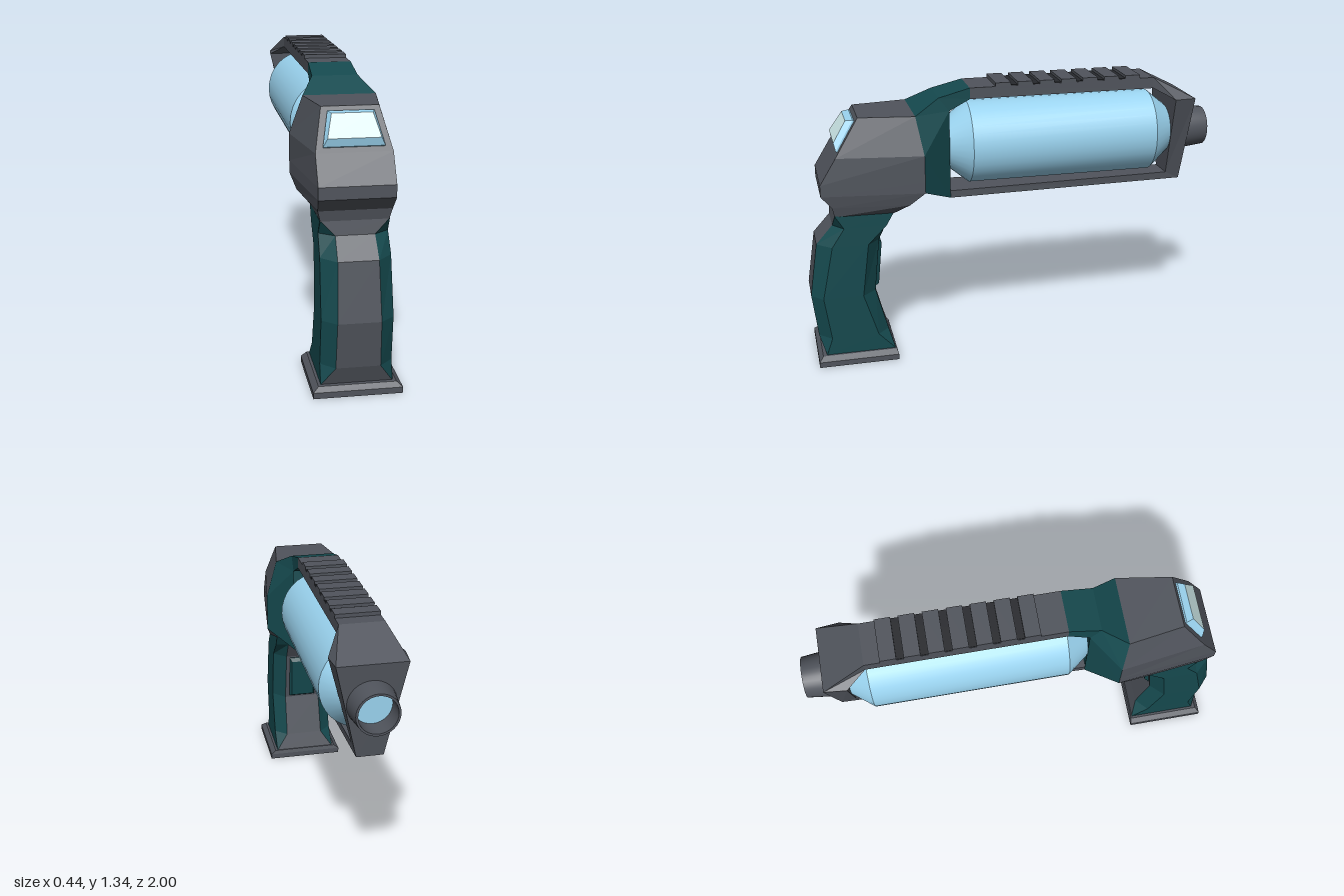
import * as THREE from 'three';
import { toCreasedNormals } from 'three/addons/utils/BufferGeometryUtils.js';

const grey = new THREE.MeshStandardMaterial({ color: 0x50545c, flatShading: true });
const dark = new THREE.MeshStandardMaterial({ color: 0x26282c, flatShading: true });
const teal = new THREE.MeshStandardMaterial({ color: 0x15494e, flatShading: true });
const blue = new THREE.MeshStandardMaterial({ color: 0x9ad3ef });
const pale = new THREE.MeshStandardMaterial({ color: 0xd2eeee });

// Closes a +x half outline into a full ring symmetric about x = 0
const mirror = (half) => [...half, ...half.map(([x, y, z]) => [-x, y, z]).reverse()];

// Skins a row of rings with flat faces and end caps; keep(column) selects faces, caps are column -1 and -2
function loft(rings, keep = () => true) {
  const n = rings[0].length, tris = [];
  const quad = (a, b, c, d, col) => tris.push([a, b, c, col], [a, c, d, col]);
  for (let i = 0; i < rings.length - 1; i++) {
    for (let j = 0; j < n; j++) {
      const k = (j + 1) % n;
      quad(rings[i][j], rings[i][k], rings[i + 1][k], rings[i + 1][j], j);
    }
  }
  const last = rings[rings.length - 1];
  for (let j = 1; j < n - 1; j++) {
    tris.push([rings[0][0], rings[0][j + 1], rings[0][j], -1]);
    tris.push([last[0], last[j], last[j + 1], -2]);
  }
  // The signed volume tells whether the faces point outwards
  const V = (p) => new THREE.Vector3(...p);
  const volume = tris.reduce((s, [a, b, c]) => s + V(a).dot(V(b).cross(V(c))), 0);
  const pos = tris.filter((t) => keep(t[3]))
    .flatMap(([a, b, c]) => (volume > 0 ? [a, b, c] : [a, c, b])).flat();
  const g = new THREE.BufferGeometry();
  g.setAttribute('position', new THREE.Float32BufferAttribute(pos, 3));
  g.computeVertexNormals();
  return g;
}

// Lathe along the barrel axis; profile is [radius, distance towards the back]
function barrelLathe(profile, squash = 1) {
  const g = new THREE.LatheGeometry(profile.map((p) => new THREE.Vector2(...p)), 32);
  g.rotateX(-Math.PI / 2).scale(squash, 1, 1).translate(0, 1.035, 0);
  return toCreasedNormals(g, 0.5);
}

export function createModel() {
  const model = new THREE.Group();
  const add = (name, geometry, material) => {
    const mesh = new THREE.Mesh(geometry, material);
    mesh.name = name;
    model.add(mesh);
    return mesh;
  };

  // Foot plate with a bevelled top
  const plate = (y, x, zb, zf) => mirror([[x, y, zf], [x, y, zb]]);
  add('footPlate', loft([
    plate(0, 0.195, 0.6, 0.985), plate(0.027, 0.195, 0.6, 0.985), plate(0.047, 0.17, 0.605, 0.965),
  ]), grey);

  // Curved grip: y, front z, front chamfer z, back chamfer z, back z, strip half width, half width
  const grip = [
    [0.045, 0.945, 0.945, 0.61, 0.61, 0.155, 0.158],
    [0.13, 0.975, 0.915, 0.69, 0.635, 0.097, 0.157],
    [0.34, 1.0, 0.945, 0.755, 0.69, 0.094, 0.156],
    [0.6, 0.96, 0.89, 0.72, 0.662, 0.088, 0.153],
    [0.69, 0.88, 0.83, 0.63, 0.617, 0.085, 0.151],
    [0.755, 0.87, 0.87, 0.592, 0.592, 0.147, 0.15],
  ].map(([y, zf, cf, cb, zb, xi, xo]) => mirror([[xi, y, zf], [xo, y, cf], [xo, y, cb], [xi, y, zb]]));
  const isStrip = (col) => col === 3 || col === 7;
  add('gripStrips', loft(grip, isStrip), grey);
  add('gripSides', loft(grip, (col) => !isStrip(col)), teal);

  // Trigger pad on the back of the grip
  add('trigger', loft([
    mirror([[0.07, 0.6, 0.69], [0.07, 0.34, 0.71]]),
    mirror([[0.07, 0.59, 0.66], [0.07, 0.35, 0.685]]),
    mirror([[0.06, 0.57, 0.647], [0.06, 0.36, 0.668]]),
  ]), teal);

  // Head: y, front half width, front z, back half width, back z
  add('head', loft([
    [0.75, 0.147, 0.87, 0.15, 0.59],
    [0.8, 0.16, 0.88, 0.2, 0.52],
    [0.86, 0.165, 0.93, 0.222, 0.45],
    [0.915, 0.165, 0.93, 0.222, 0.45],
    [1.04, 0.165, 0.853, 0.222, 0.45],
    [1.215, 0.125, 0.74, 0.165, 0.48],
  ].map(([y, xf, zf, xb, zb]) => mirror([[xf, y, zf], [xb, y, zb]]))), grey);

  // Bevelled window on the sloping face of the head
  const onSlope = (x, y, lift) => [x, y + 0.54 * lift, 0.74 + (1.215 - y) * 0.646 + 0.84 * lift];
  const pane = (xt, yt, xb, yb, lift) => mirror([onSlope(xt, yt, lift), onSlope(xb, yb, lift)]);
  const win = [pane(0.1, 1.195, 0.132, 1.06, -0.01), pane(0.1, 1.195, 0.132, 1.06, 0.008),
    pane(0.088, 1.177, 0.114, 1.082, 0.034)];
  add('windowRim', loft(win, (col) => col !== -2), blue);
  add('windowPane', loft(win, (col) => col === -2), pale);

  // Collar narrowing from the head to the frame
  add('collar', loft([
    mirror([[0.165, 1.215, 0.48], [0.222, 1.04, 0.45], [0.222, 0.86, 0.45]]),
    mirror([[0.105, 1.28, 0.36], [0.105, 1.215, 0.31], [0.1, 0.785, 0.31]]),
  ]), teal);
  add('collarTop', loft([
    mirror([[0.105, 1.28, 0.36], [0.105, 1.215, 0.31]]),
    mirror([[0.1, 1.318, 0.21], [0.1, 1.265, 0.21]]),
  ]), teal);

  // Frame: top rail, sloping end, back plate and bottom rail in one band
  add('frame', loft([
    mirror([[0.1, 1.318, 0.21], [0.1, 1.265, 0.21]]),
    mirror([[0.1, 1.318, -0.7], [0.1, 1.265, -0.7]]),
    mirror([[0.155, 1.215, -0.9], [0.165, 1.215, -0.795]]),
    mirror([[0.06, 0.782, -0.872], [0.065, 0.818, -0.8]]),
    mirror([[0.1, 0.785, 0.315], [0.1, 0.82, 0.315]]),
  ]), grey);

  // Ribbed top of the rail
  add('ribBed', new THREE.BoxGeometry(0.196, 0.01, 0.69).translate(0, 1.317, -0.27), dark);
  for (let i = 0; i < 7; i++) {
    const rib = add('rib', new THREE.BoxGeometry(0.2, 0.03, 0.073), grey);
    rib.position.set(0, 1.32, 0.05 - i * 0.107);
  }

  // Tank held in the frame
  add('tank', barrelLathe([
    [0, -0.31], [0.118, -0.31], [0.2, -0.21], [0.2, 0.7], [0.118, 0.8], [0, 0.8],
  ], 0.93), blue);

  // Hollow nozzle with a lens inside
  const smoothGrey = grey.clone();
  smoothGrey.flatShading = false;
  add('nozzle', barrelLathe([
    [0.108, 0.86], [0.108, 0.885], [0.095, 1], [0.085, 1], [0.085, 0.89],
  ]), smoothGrey);
  add('nozzleLens', barrelLathe([[0.086, 0.903], [0, 0.903]]), blue);
  return model;
}
